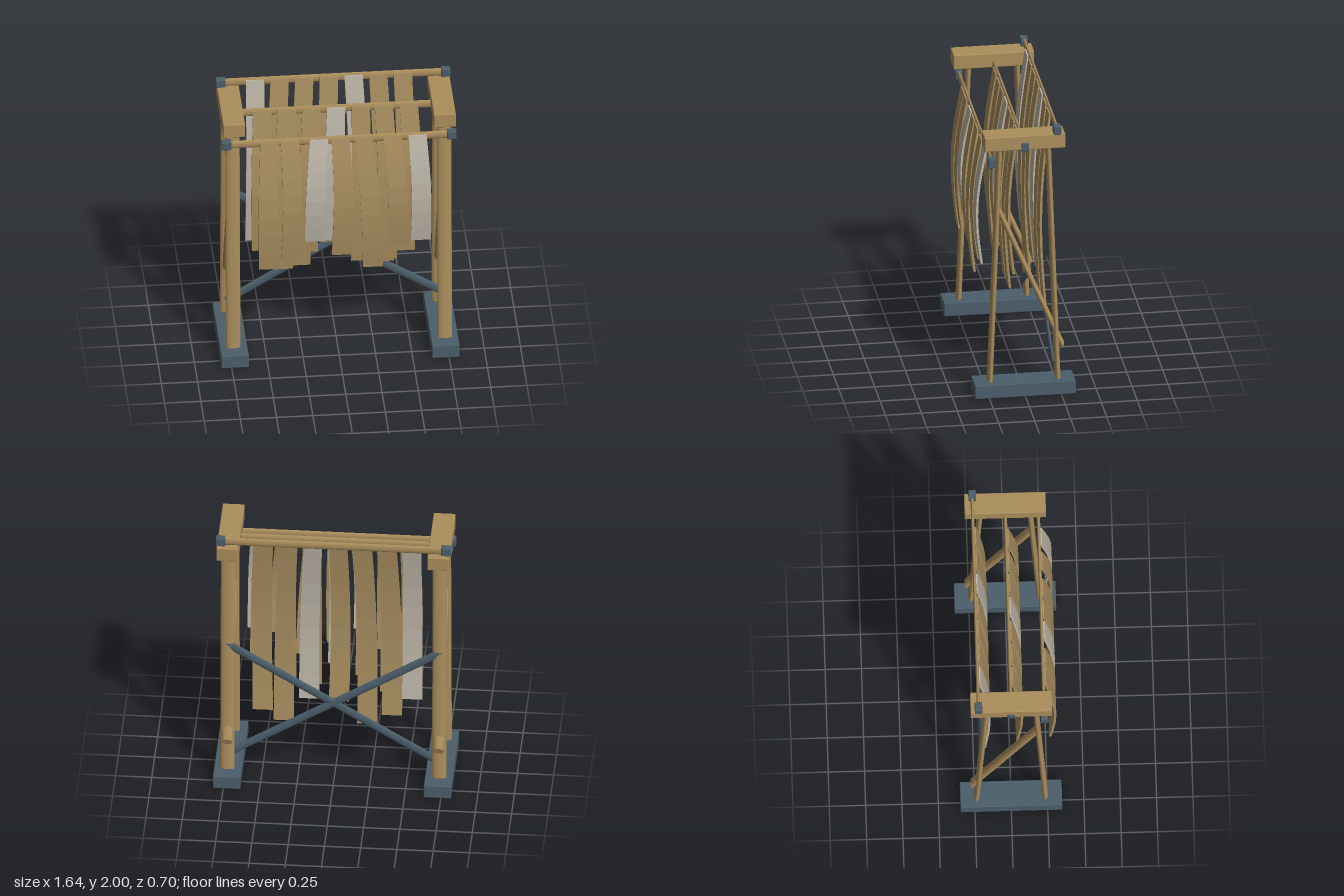
import * as THREE from 'three';
import { RoundedBoxGeometry } from 'three/addons/geometries/RoundedBoxGeometry.js';

const SQUASH = 0.4; // round bars are flattened front to back

const material = (name, color) => {
  const m = new THREE.MeshStandardMaterial({ color });
  m.name = name;
  return m;
};

export function createModel() {
  const group = new THREE.Group();
  const wood = material('tan wood', 0xab8e5c);
  const slate = material('slate blue', 0x4b5e6a);
  const strip = material('tan strip', 0xa98f60);
  const pale = material('pale strip', 0xbdb6a8);

  const add = (name, geometry, mat) => {
    const mesh = new THREE.Mesh(geometry, mat);
    mesh.name = name;
    group.add(mesh);
    return mesh;
  };

  // Rounded block centred at x, y, z
  const block = (name, mat, w, h, d, x, y, z) =>
    add(name, new RoundedBoxGeometry(w, h, d, 2, 0.007), mat).position.set(x, y, z);

  // Flattened round bar between two points
  const bar = (name, mat, a, b, r) => {
    const p = new THREE.Vector3(a[0], a[1], a[2] / SQUASH);
    const q = new THREE.Vector3(b[0], b[1], b[2] / SQUASH);
    const dir = q.clone().sub(p);
    const geo = new THREE.CylinderGeometry(r, r, dir.length(), 16);
    const turn = new THREE.Quaternion().setFromUnitVectors(
      new THREE.Vector3(0, 1, 0), dir.normalize());
    geo.applyQuaternion(turn);
    const mid = p.add(q).multiplyScalar(0.5);
    geo.translate(mid.x, mid.y, mid.z);
    geo.scale(1, 1, SQUASH);
    add(name, geo, mat);
  };

  // Hanging strip: a thin box bellied forward and swayed sideways
  const hangStrip = (mat, x0, x1, top, bottom, z0) => {
    const geo = new THREE.BoxGeometry(1, 1, 0.016, 1, 7, 1);
    const pos = geo.attributes.position;
    for (let i = 0; i < pos.count; i++) {
      const t = 0.5 - pos.getY(i);
      const width = 0.126 + 0.014 * t;
      const x = x0 + (x1 - x0) * t + 0.012 * Math.sin(Math.PI * t) * Math.sign(x1 - x0);
      const belly = 0.035 * t + 0.05 * Math.sin(Math.PI * t);
      pos.setXYZ(i, x + pos.getX(i) * width, top + (bottom - top) * t,
        z0 + belly + pos.getZ(i));
    }
    geo.computeVertexNormals();
    const flat = geo.toNonIndexed();
    flat.computeVertexNormals();
    add('hangingStrip', flat, mat);
  };

  // Side frames
  for (const s of [-1, 1]) {
    block('foot', slate, 0.19, 0.1, 0.7, s * 0.727, 0.05, 0);
    block('topBeam', wood, 0.152, 0.105, 0.56, s * 0.727, 1.888, 0);
    for (const f of [-1, 1]) {
      bar('leg', wood, [s * 0.73, 0.08, f * 0.236], [s * 0.73, 1.86, f * 0.168], 0.05);
    }
    bar('sideBrace', wood, [s * 0.73, 1.42, 0.195], [s * 0.73, 0.335, -0.27], 0.035);
    // Crossed back braces
    bar('backBrace', slate, [-s * 0.74, 1.11, -0.205], [s * 0.74, 0.2, -0.205], 0.03);
  }

  // Rows of strips: [top x, bottom x, bottom y, pale?]
  const rows = [
    { y: 1.968, z: -0.225, strips: [
      [-0.54, -0.54, 0.7, 1], [-0.37, -0.40, 0.56], [-0.2, -0.23, 0.48],
      [-0.03, -0.035, 0.66], [0.14, 0.17, 0.67, 1], [0.31, 0.345, 0.48],
      [0.48, 0.49, 0.56]] },
    { y: 1.858, z: 0, strips: [
      [-0.51, -0.515, 0.76], [-0.34, -0.37, 0.6], [-0.17, -0.2, 0.73],
      [0, -0.01, 0.82, 1], [0.17, 0.17, 0.64], [0.33, 0.345, 0.64],
      [0.5, 0.525, 0.82]] },
    { y: 1.748, z: 0.228, strips: [
      [-0.48, -0.485, 0.75], [-0.34, -0.335, 0.8], [-0.14, -0.17, 0.96, 1],
      [0.01, 0.015, 0.84], [0.168, 0.23, 0.73], [0.365, 0.41, 0.9],
      [0.54, 0.56, 0.93, 1]] },
  ];
  for (const { y, z, strips } of rows) {
    bar('rail', wood, [-0.78, y, z], [0.78, y, z], 0.03);
    for (const s of [-1, 1]) block('railCap', slate, 0.066, 0.064, 0.052, s * 0.777, y, z);
    for (const [x0, x1, bottom, isPale] of strips) {
      hangStrip(isPale ? pale : strip, x0, x1, y + 0.014, bottom, z + 0.012);
    }
  }

  return group;
}
